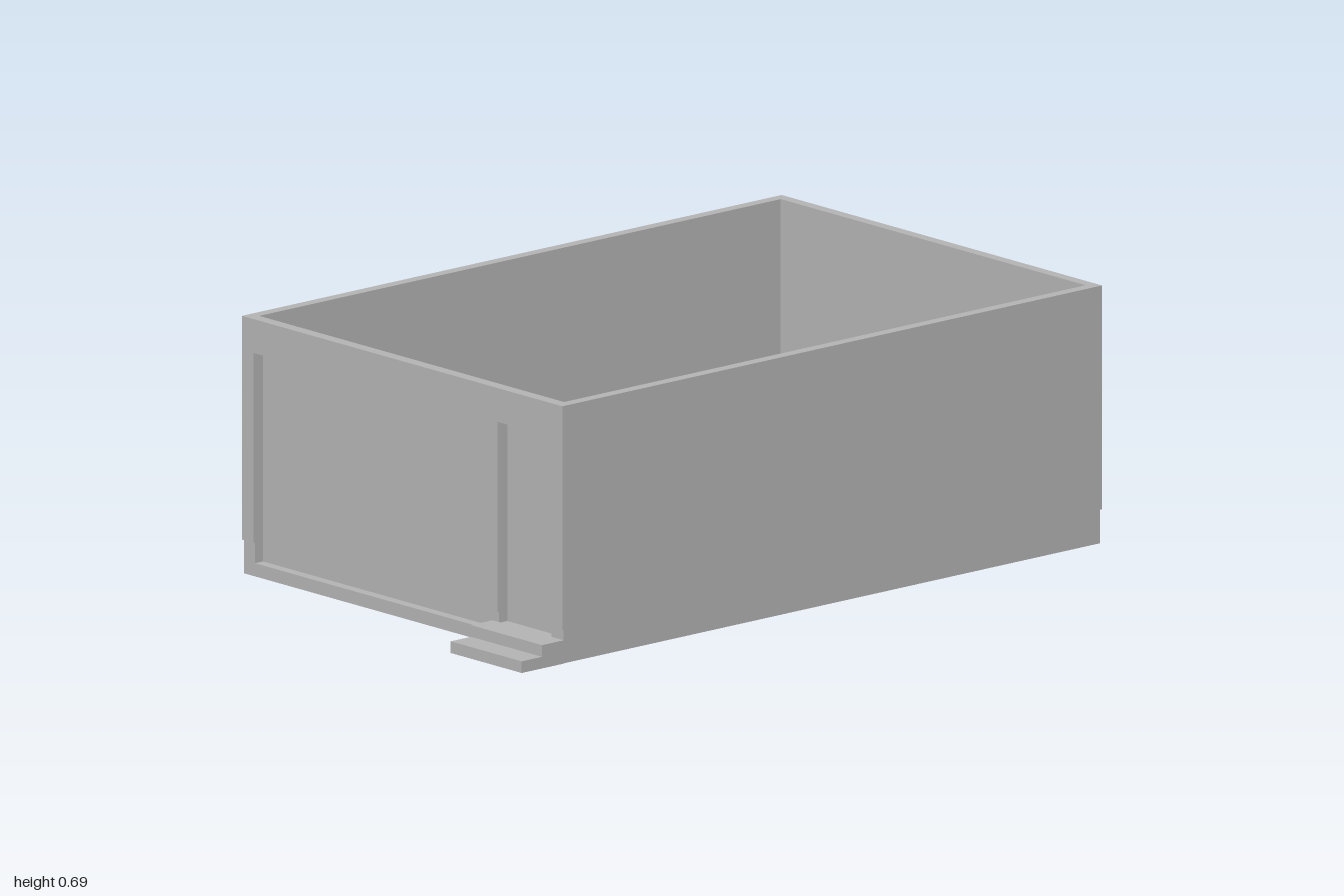
import * as THREE from 'three';

const W = 0.62, BACK = -1, FRONT = 0.86, TOP = 0.685, LIP = 0.09;
const INNER_X = 0.59, INNER_BACK = -0.97, INNER_FRONT = 0.827;

const shapeOf = (points) => new THREE.Shape(points.map(([x, y]) => new THREE.Vector2(x, y)));

export function createModel() {
  const model = new THREE.Group();
  model.name = 'garageShell';
  const plaster = new THREE.MeshStandardMaterial({ color: 0xb2b2b2 });
  plaster.name = 'plainGrey';

  const add = (name, geometry) => {
    const mesh = new THREE.Mesh(geometry, plaster);
    mesh.name = name;
    model.add(mesh);
    return mesh;
  };
  const box = (name, x0, x1, y0, y1, z0, z1) =>
    add(name, new THREE.BoxGeometry(x1 - x0, y1 - y0, z1 - z0))
      .position.set((x0 + x1) / 2, (y0 + y1) / 2, (z0 + z1) / 2);

  // U-shaped side and back walls, drawn in plan and raised from y0 to y1
  const sideWalls = (name, y0, y1, insetX, insetZ) => {
    const w = W - insetX, b = BACK + insetZ;
    const plan = shapeOf([
      [-w, -INNER_FRONT], [-INNER_X, -INNER_FRONT], [-INNER_X, -INNER_BACK],
      [INNER_X, -INNER_BACK], [INNER_X, -INNER_FRONT], [w, -INNER_FRONT], [w, -b], [-w, -b],
    ]);
    const geometry = new THREE.ExtrudeGeometry(plan, { depth: y1 - y0, bevelEnabled: false });
    add(name, geometry.rotateX(-Math.PI / 2).translate(0, y0, 0));
  };

  // Front wall slice, drawn as an elevation with its openings notched out
  const frontWall = (name, outline, front) => {
    const geometry = new THREE.ExtrudeGeometry(shapeOf(outline), { depth: front - INNER_FRONT, bevelEnabled: false });
    add(name, geometry.translate(0, 0, INNER_FRONT));
  };

  // Walls above a slightly recessed base course
  sideWalls('sideAndBackWalls', LIP, TOP, 0, 0);
  sideWalls('sideAndBackBase', 0, LIP, 0.002, 0.005);

  const gate = { x0: -0.575, x1: 0.317, y0: 0.035, y1: 0.595 };
  const door = { x0: 0.37, x1: 0.572, y0: 0.06, y1: 0.595 };
  frontWall('frontWall', [
    [-W, LIP], [gate.x0, LIP], [gate.x0, gate.y1], [gate.x1, gate.y1], [gate.x1, LIP],
    [door.x0, LIP], [door.x0, door.y1], [door.x1, door.y1], [door.x1, LIP],
    [W, LIP], [W, TOP], [-W, TOP],
  ], FRONT);
  const w = W - 0.002;
  frontWall('frontBase', [
    [-w, 0], [w, 0], [w, LIP], [door.x1, LIP], [door.x1, door.y0], [door.x0, door.y0],
    [door.x0, LIP], [gate.x1, LIP], [gate.x1, gate.y0], [gate.x0, gate.y0], [gate.x0, LIP], [-w, LIP],
  ], FRONT - 0.005);

  // Panels closing the two openings from inside
  box('garageDoor', gate.x0 - 0.002, gate.x1 + 0.002, gate.y0 - 0.002, gate.y1 + 0.002, 0.81, INNER_FRONT);
  box('entranceDoor', door.x0 - 0.008, door.x1 + 0.01, door.y0 - 0.008, door.y1 + 0.008, 0.822, INNER_FRONT);

  // Entrance steps
  box('upperStep', 0.345, W, 0, 0.062, FRONT - 0.005, 0.93);
  box('lowerStep', 0.345, W, 0, 0.031, 0.93, 1);

  return model;
}
